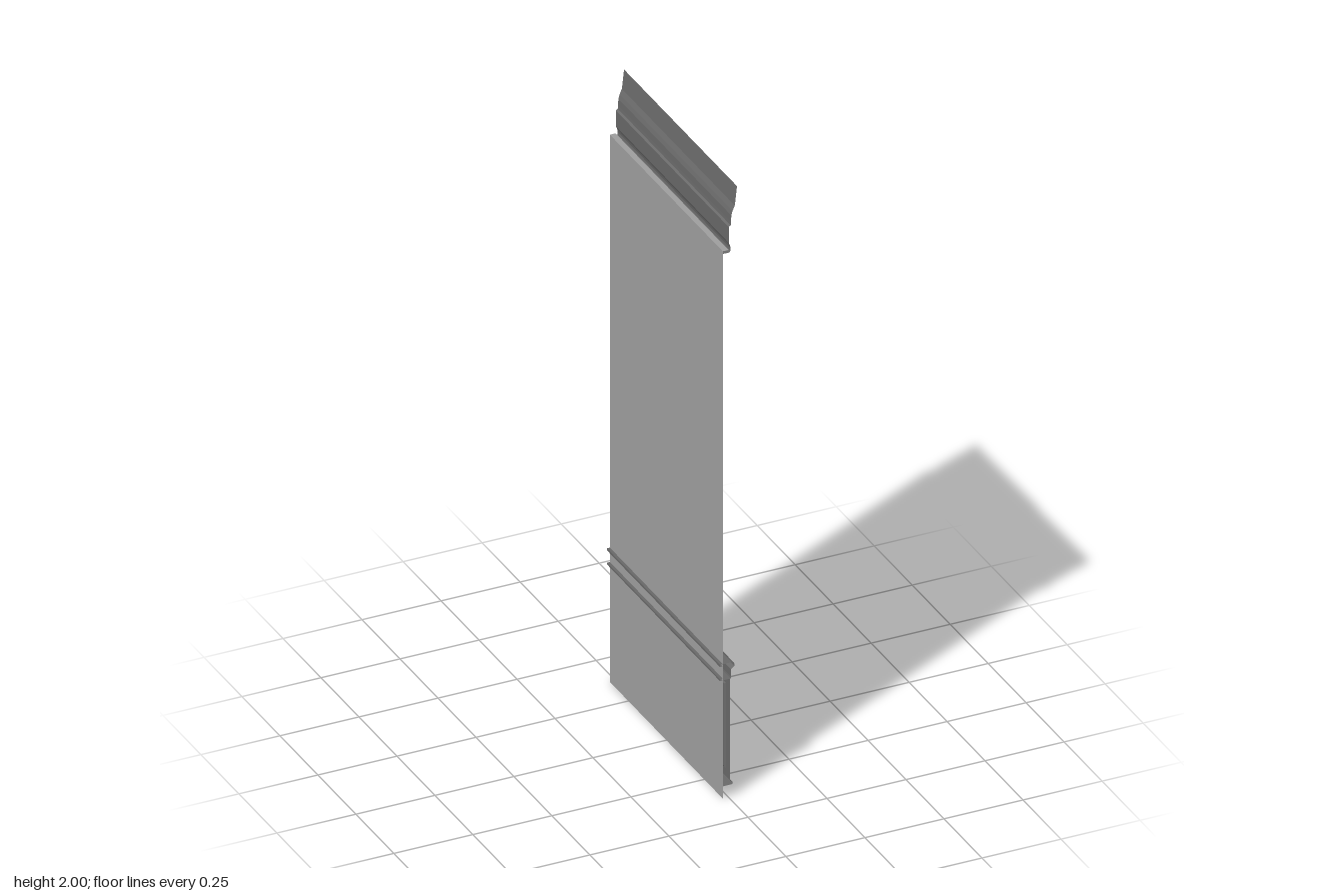
import * as THREE from 'three';

const HALF = 0.372; // half the length along z

function material(name, color) {
  const m = new THREE.MeshStandardMaterial({ color, side: THREE.DoubleSide });
  m.name = name;
  return m;
}

// Flat quads, each given as four corners in counter-clockwise order
function quads(list) {
  const pos = [];
  for (const [a, b, c, d] of list) pos.push(...a, ...b, ...c, ...a, ...c, ...d);
  const g = new THREE.BufferGeometry();
  g.setAttribute('position', new THREE.Float32BufferAttribute(pos, 3));
  g.computeVertexNormals();
  return g;
}

// Open moulding: an [x, y] profile, listed upwards, swept along z
function sweep(profile) {
  const list = [];
  for (let i = 0; i + 1 < profile.length; i++) {
    const [x0, y0] = profile[i], [x1, y1] = profile[i + 1];
    list.push([[x0, y0, HALF], [x0, y0, -HALF], [x1, y1, -HALF], [x1, y1, HALF]]);
  }
  return quads(list);
}

// Nested rectangles facing +x: each ring is [x, inset], the last one is filled
function steppedPanel(zMin, zMax, yMin, yMax, rings) {
  const loops = rings.map(([x, d]) => [
    [x, yMin + d, zMax - d], [x, yMin + d, zMin + d],
    [x, yMax - d, zMin + d], [x, yMax - d, zMax - d],
  ]);
  const list = [];
  for (let r = 0; r + 1 < loops.length; r++) {
    for (let i = 0; i < 4; i++) {
      const j = (i + 1) % 4;
      list.push([loops[r][i], loops[r][j], loops[r + 1][j], loops[r + 1][i]]);
    }
  }
  list.push(loops[loops.length - 1]);
  return quads(list);
}

export function createModel() {
  const group = new THREE.Group();
  group.name = 'wallSection';
  const wallPaint = material('wall grey', 0xa0a0a0);
  const trimPaint = material('trim dark grey', 0x6a6a6a);
  const add = (name, geometry, mat) => {
    const mesh = new THREE.Mesh(geometry, mat);
    mesh.name = name;
    group.add(mesh);
  };

  // Wall sheet with a narrow ledge on top
  add('wall', sweep([[-0.018, 0], [-0.018, 1.797], ]), wallPaint);
  add('wallTopLedge', sweep([[0, 1.797], [-0.018, 1.797]]), wallPaint);

  // Cornice flaring outwards to the ceiling
  add('cornice', sweep([
    [-0.018, 1.788], [0.002, 1.788], [0.006, 1.792], [0.007, 1.8], [0.005, 1.81],
    [0.001, 1.82], [0.001, 1.872], [0.007, 1.876], [0.008, 1.886], [0.009, 1.908],
    [0.013, 1.922], [0.02, 1.938], [0.022, 1.955], [0.027, 2],
  ]), trimPaint);

  // Two stepped wainscot panels, side by side
  const rings = [[0.004, 0], [0.004, 0.026], [0.001, 0.031], [0.001, 0.073], [0.004, 0.08]];
  for (const side of [-1, 1]) {
    const ends = [0.002 * side, HALF * side].sort((a, b) => a - b);
    add(side > 0 ? 'leftPanel' : 'rightPanel',
      steppedPanel(ends[0], ends[1], 0.055, 0.388, rings), trimPaint);
  }
  add('panelGroove', sweep([[0.001, 0.055], [0.001, 0.388]]).scale(1, 1, 0.01), trimPaint);

  // Base moulding under the panels
  add('baseMoulding', sweep([
    [-0.018, 0.04], [0.012, 0.04], [0.014, 0.044], [0.012, 0.049], [0.007, 0.052], [0.004, 0.058],
  ]), trimPaint);

  // Chair rail: lower ledge, flat band and rounded cap, poking through the wall
  add('chairRail', sweep([
    [-0.027, 0.388], [0.007, 0.388], [0.008, 0.393], [0.008, 0.418], [0.013, 0.422],
    [0.018, 0.426], [0.019, 0.432], [0.017, 0.438], [0.01, 0.441], [-0.027, 0.441],
  ]), trimPaint);
  add('railBackLip', sweep([[-0.027, 0.441], [-0.027, 0.434], [-0.018, 0.434]]), trimPaint);
  add('railLowerLip', sweep([[-0.018, 0.394], [-0.027, 0.394], [-0.027, 0.388]]), trimPaint);

  return group;
}
